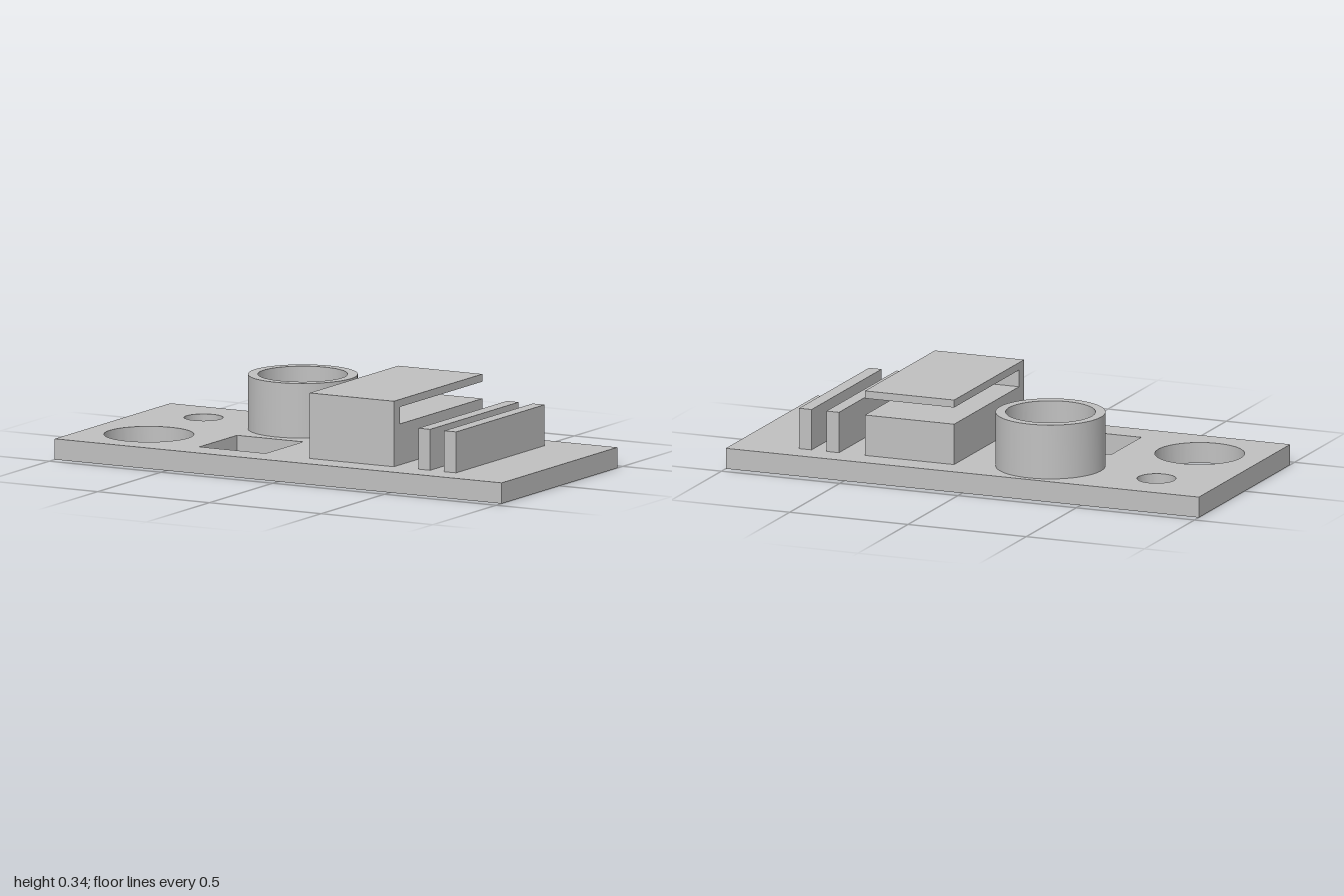
import * as THREE from 'three';
import { toCreasedNormals } from 'three/addons/utils/BufferGeometryUtils.js';

const PLATE_TOP = 0.082;

// Rectangle outline, counter-clockwise
function rectangle(target, x0, x1, y0, y1) {
  target.moveTo(x0, y0);
  target.lineTo(x1, y0);
  target.lineTo(x1, y1);
  target.lineTo(x0, y1);
  target.closePath();
  return target;
}

function circle(target, x, y, radius) {
  target.absarc(x, y, radius, 0, Math.PI * 2, false);
  return target;
}

function extrude(shape, depth) {
  return new THREE.ExtrudeGeometry(shape, { depth, bevelEnabled: false, curveSegments: 64 });
}

// Extrude a plan outline (shape y = -z) upwards from a base height
function extrudeUp(shape, base, height) {
  const geometry = extrude(shape, height);
  geometry.rotateX(-Math.PI / 2);
  geometry.translate(0, base, 0);
  return toCreasedNormals(geometry, 0.6);
}

export function createModel() {
  const model = new THREE.Group();
  model.name = 'testPlate';
  const grey = new THREE.MeshStandardMaterial({ color: 0xc0c0c0 });
  grey.name = 'light grey';

  const add = (name, geometry) => {
    const mesh = new THREE.Mesh(geometry, grey);
    mesh.name = name;
    model.add(mesh);
    return mesh;
  };

  // Base plate with three round holes and a square one
  const tube = { x: -0.272, z: -0.218, outer: 0.214, inner: 0.175 };
  const plate = rectangle(new THREE.Shape(), -1, 1, -0.457, 0.457);
  plate.holes.push(
    circle(new THREE.Path(), -0.732, 0.246, 0.076),
    circle(new THREE.Path(), -0.732, -0.186, 0.175),
    circle(new THREE.Path(), tube.x, -tube.z, tube.inner),
    rectangle(new THREE.Path(), -0.421, -0.125, -0.335, -0.039),
  );
  add('basePlate', extrudeUp(plate, 0, PLATE_TOP));

  // Open tube standing over its hole
  const ring = circle(new THREE.Shape(), tube.x, -tube.z, tube.outer);
  ring.holes.push(circle(new THREE.Path(), tube.x, -tube.z, tube.inner));
  add('tube', extrudeUp(ring, PLATE_TOP, 0.298 - PLATE_TOP));

  // Block with an overhanging slab: side profile (z, y) swept along x
  const profile = new THREE.Shape([
    [-0.35, PLATE_TOP], [0.35, PLATE_TOP], [0.35, 0.244], [-0.3, 0.244],
    [-0.3, 0.311], [0.35, 0.311], [0.35, 0.341], [-0.35, 0.341],
  ].map(([z, y]) => new THREE.Vector2(z, y)));
  const overhang = extrude(profile, 0.377);
  overhang.rotateY(Math.PI / 2); // profile runs from the front (+z) to the back
  overhang.translate(0.08, 0, 0);
  add('overhangBlock', overhang);

  // Two thin upright walls
  for (const x of [0.593, 0.709]) {
    const wall = new THREE.BoxGeometry(0.053, 0.244 - PLATE_TOP, 0.7);
    wall.translate(x, (0.244 + PLATE_TOP) / 2, 0);
    add('thinWall', wall);
  }

  return model;
}
